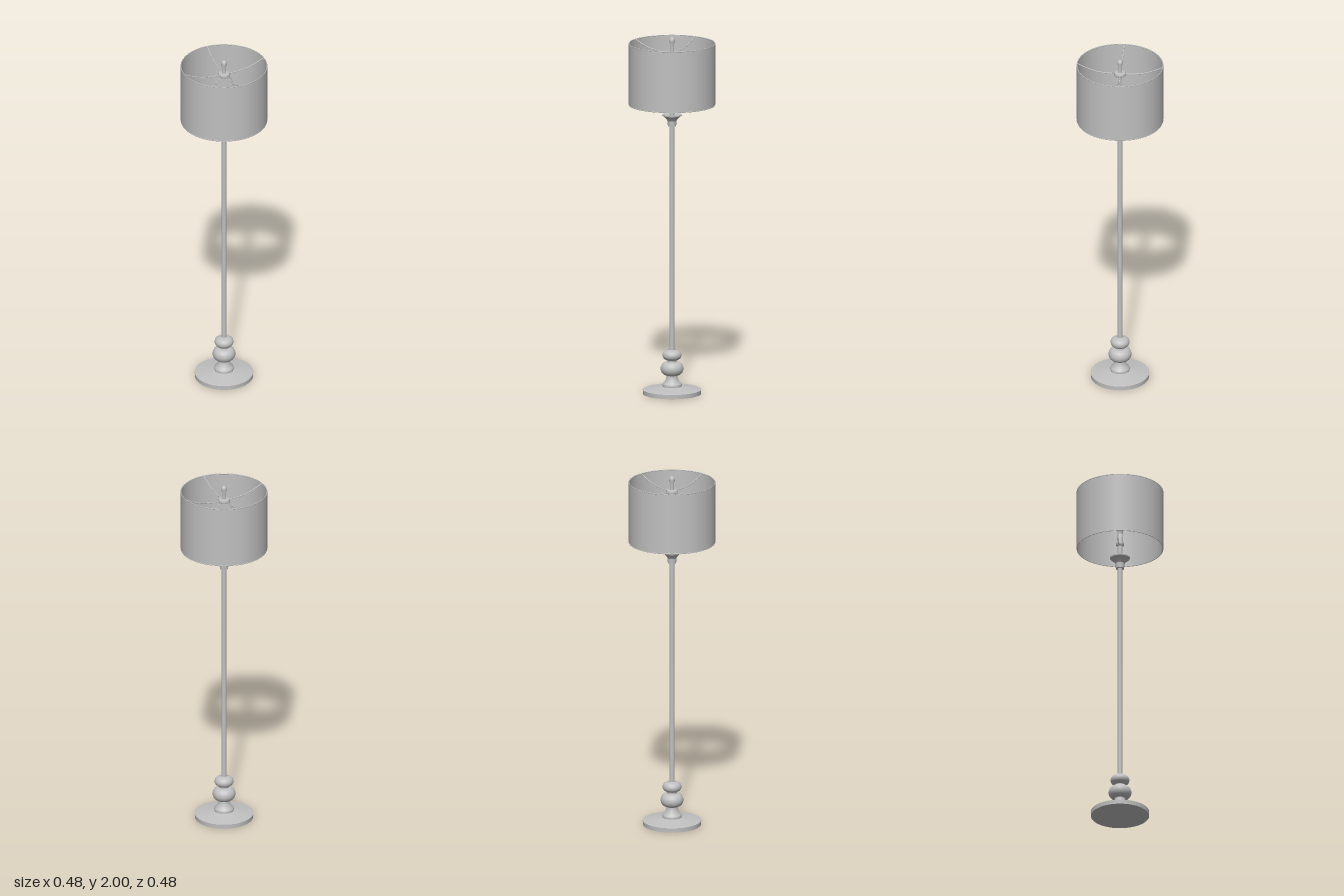
import * as THREE from 'three';

const metal = new THREE.MeshStandardMaterial({ color: 0xc0c0c0, side: THREE.DoubleSide });
metal.name = 'light grey';

function add(group, name, geometry) {
  const mesh = new THREE.Mesh(geometry, metal);
  mesh.name = name;
  group.add(mesh);
  return mesh;
}

// Lathe from [radius, height] pairs
function turned(group, name, pairs, segments = 48) {
  return add(group, name, new THREE.LatheGeometry(pairs.map(([r, y]) => new THREE.Vector2(r, y)), segments));
}

// Rounded bead profile between two heights, starting and ending at the neck radius
function bead(neck, radius, y0, y1, steps = 14) {
  const points = [];
  for (let i = 0; i <= steps; i++) {
    const a = (i / steps) * Math.PI;
    points.push([neck + (radius - neck) * Math.sin(a), (y0 + y1) / 2 - ((y1 - y0) / 2) * Math.cos(a)]);
  }
  return points;
}

function wire(group, name, points, radius, steps = 28) {
  const curve = new THREE.CatmullRomCurve3(points.map(p => new THREE.Vector3(...p)));
  return add(group, name, new THREE.TubeGeometry(curve, steps, radius, 8));
}

export function createModel() {
  const lamp = new THREE.Group();
  lamp.name = 'floorLamp';

  // Base: underside, rim and gently sloping top are separate for crisp edges
  turned(lamp, 'baseUnderside', [[0, 0], [0.16, 0]], 64);
  turned(lamp, 'baseRim', [[0.16, 0], [0.161, 0.024]], 64);
  turned(lamp, 'baseTop', [[0.161, 0.024], [0.155, 0.027], [0.1, 0.034], [0.055, 0.043]], 64);

  // Turned stem above the base
  turned(lamp, 'foot', [[0.052, 0.04], [0.055, 0.048], [0.052, 0.057], [0.044, 0.064], [0.034, 0.08], [0.029, 0.1], [0.032, 0.106]]);
  turned(lamp, 'lowerBead', bead(0.028, 0.063, 0.103, 0.179));
  turned(lamp, 'beadNeck', [[0.028, 0.175], [0.024, 0.182], [0.028, 0.192]]);
  turned(lamp, 'upperBead', bead(0.022, 0.052, 0.188, 0.244));
  turned(lamp, 'beadCap', [[0.022, 0.243], [0.013, 0.246]]);

  // Pole in two joined lengths
  turned(lamp, 'lowerPole', [[0.0135, 0.24], [0.0135, 0.93]], 24);
  turned(lamp, 'upperPole', [[0.013, 0.93], [0.013, 1.51]], 24);

  // Collar and flared cup
  turned(lamp, 'collarUnderside', [[0.013, 1.5], [0.023, 1.5]], 32);
  turned(lamp, 'collar', [[0.023, 1.5], [0.025, 1.53]], 32);
  turned(lamp, 'cup', [[0.025, 1.53], [0.03, 1.538], [0.041, 1.551], [0.054, 1.56]], 48);
  turned(lamp, 'cupRim', [[0.054, 1.56], [0.055, 1.566]], 48);
  turned(lamp, 'cupTop', [[0.055, 1.566], [0.014, 1.56]], 48);

  // Socket and bulb inside the shade
  turned(lamp, 'socketStem', [[0.014, 1.56], [0.014, 1.64]], 24);
  turned(lamp, 'socket', [[0.014, 1.635], [0.021, 1.64], [0.021, 1.655], [0.016, 1.662], [0.018, 1.705], [0, 1.705]], 24);
  turned(lamp, 'bulb', [[0.013, 1.705], [0.016, 1.73], [0.025, 1.765], [0.028, 1.787], [0.024, 1.808], [0.013, 1.822], [0, 1.826]], 24);

  // Wire harp holding the shade
  wire(lamp, 'harp', [
    [-0.018, 1.635, 0], [-0.035, 1.64, 0], [-0.045, 1.68, 0], [-0.058, 1.75, 0], [-0.055, 1.83, 0], [-0.035, 1.885, 0],
    [0, 1.902, 0],
    [0.035, 1.885, 0], [0.055, 1.83, 0], [0.058, 1.75, 0], [0.045, 1.68, 0], [0.035, 1.64, 0], [0.018, 1.635, 0],
  ], 0.003, 64);

  // Hub and finial
  turned(lamp, 'hub', [[0, 1.9], [0.029, 1.9], [0.032, 1.904], [0.032, 1.916], [0.029, 1.92], [0, 1.922]], 32);
  turned(lamp, 'finial', [[0.012, 1.92], [0.012, 1.965], [0.016, 1.972], [0.016, 1.985], [0.011, 1.996], [0, 2]], 24);

  // Four sagging spokes from the hub to the top rim
  for (let i = 0; i < 4; i++) {
    const spoke = wire(lamp, 'spoke' + (i + 1), [
      [0.025, 1.911, 0], [0.08, 1.912, 0], [0.14, 1.922, 0], [0.195, 1.942, 0], [0.236, 1.962, 0],
    ], 0.003);
    spoke.rotation.y = (i * Math.PI) / 2;
  }

  // Drum shade: thin double wall with wire rings at both ends
  turned(lamp, 'shadeOuter', [[0.238, 1.62], [0.238, 1.965]], 64);
  turned(lamp, 'shadeInner', [[0.235, 1.965], [0.235, 1.62]], 64);
  for (const [name, y] of [['lowerRing', 1.6225], ['upperRing', 1.9625]]) {
    const ring = add(lamp, name, new THREE.TorusGeometry(0.2365, 0.0025, 8, 64));
    ring.rotation.x = Math.PI / 2;
    ring.position.y = y;
  }
  return lamp;
}
